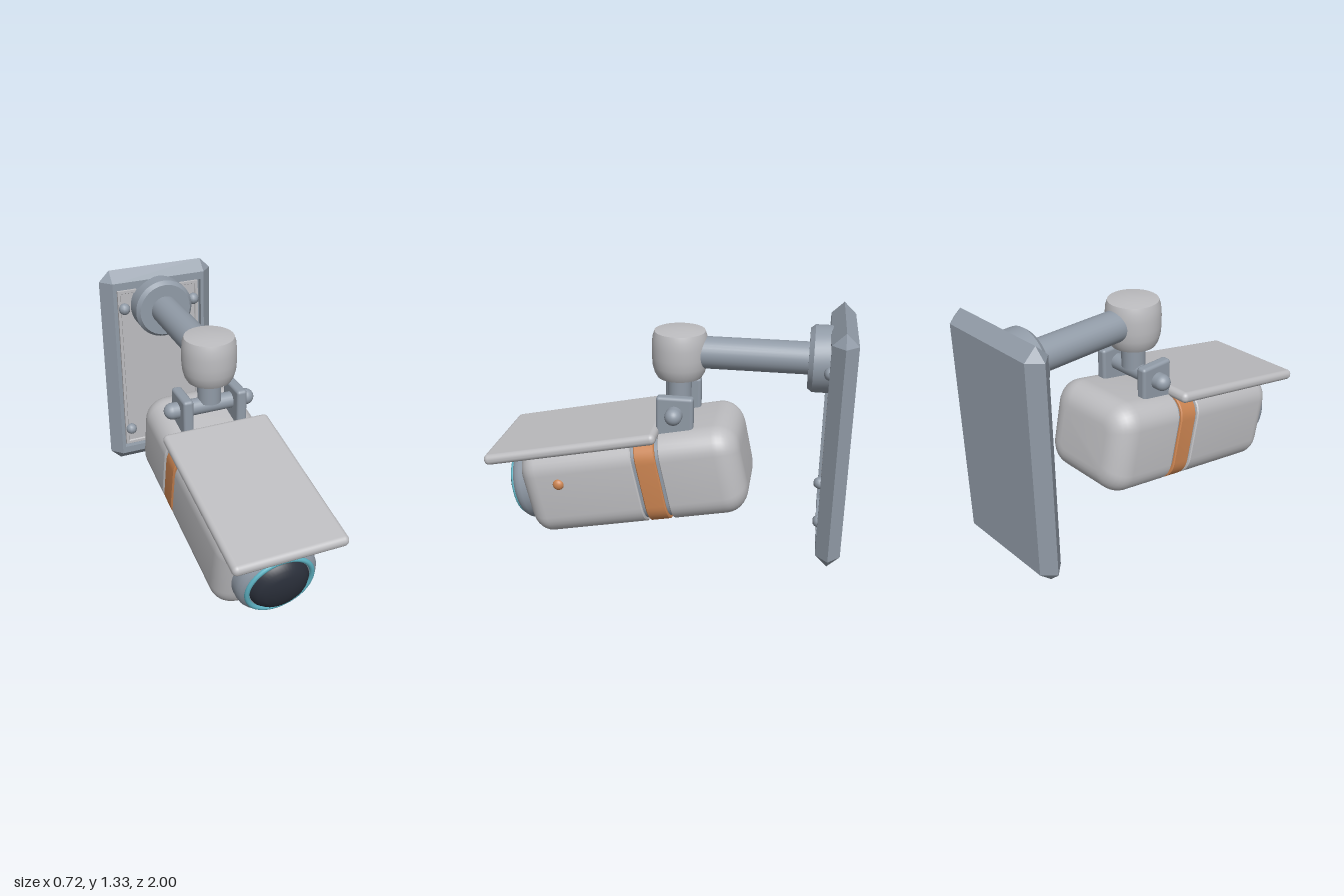
import * as THREE from 'three';
import { toCreasedNormals } from 'three/addons/utils/BufferGeometryUtils.js';
import { RoundedBoxGeometry } from 'three/addons/geometries/RoundedBoxGeometry.js';

const mat = (name, color) => new THREE.MeshStandardMaterial({ name, color });

// Skin a list of matching loops (counter-clockwise seen from +z), capped at both ends
function loft(loops, crease) {
  const n = loops[0].length, pos = [], idx = [];
  loops.forEach(l => l.forEach(p => pos.push(...p)));
  for (let k = 0; k < loops.length - 1; k++) {
    for (let i = 0; i < n; i++) {
      const a = k * n + i, b = k * n + (i + 1) % n;
      idx.push(a, b, b + n, a, b + n, a + n);
    }
  }
  const last = (loops.length - 1) * n;
  for (let i = 1; i < n - 1; i++) {
    idx.push(0, i + 1, i);
    idx.push(last, last + i, last + i + 1);
  }
  const g = new THREE.BufferGeometry();
  g.setAttribute('position', new THREE.Float32BufferAttribute(pos, 3));
  g.setIndex(idx);
  return toCreasedNormals(g, crease);
}

// Rounded-rectangle loop
function roundLoop(hw, hh, r, z, cy = 0) {
  const pts = [];
  for (let c = 0; c < 4; c++) {
    const sx = c === 0 || c === 3 ? 1 : -1, sy = c < 2 ? 1 : -1;
    for (let i = 0; i <= 8; i++) {
      const a = (c + i / 8) * Math.PI / 2;
      pts.push([sx * (hw - r) + r * Math.cos(a), cy + sy * (hh - r) + r * Math.sin(a), z]);
    }
  }
  return pts;
}

// Rectangle loop with corners cut from (ox, iy) to (ix, oy)
const cutLoop = (ox, oy, z, cut = 0) => {
  const ix = ox - cut, iy = oy - cut;
  return [[ox, iy, z], [ix, oy, z], [-ix, oy, z], [-ox, iy, z],
    [-ox, -iy, z], [-ix, -oy, z], [ix, -oy, z], [ox, -iy, z]];
};

// Camera body cross-section, pulled in by an inset
const bodyLoop = (z, inset = 0) =>
  roundLoop(0.297 - inset, 0.26 - inset, Math.max(0.13 - inset * 0.7, 0.03), z, 0.01);

// Loops for a rounded body end; dir is -1 for the rear, +1 for the front
function endLoops(zEnd, r, dir) {
  const out = [];
  for (let i = 0; i <= 8; i++) {
    const a = i / 8 * Math.PI / 2;
    out.push(bodyLoop(zEnd - dir * r * (1 - Math.sin(a)), r * (1 - Math.cos(a))));
  }
  return dir > 0 ? out : out.reverse();
}

const lathe = (pts, seg = 40) => toCreasedNormals(
  new THREE.LatheGeometry(pts.map(p => new THREE.Vector2(...p)), seg), 0.6);

export function createModel() {
  const shell = mat('light grey shell', 0xbdbdc0);
  const metal = mat('blue grey metal', 0x919ba7);
  const orange = mat('orange accent', 0xcb8451);
  const teal = mat('teal ring', 0x5fb4c5);
  const glass = mat('dark glass', 0x2b303b);

  const model = new THREE.Group();
  const add = (name, geo, material, x = 0, y = 0, z = 0, parent = model) => {
    const m = new THREE.Mesh(geo, material);
    m.name = name;
    m.position.set(x, y, z);
    parent.add(m);
    return m;
  };

  // Wall plate with chamfered rim and a recessed face
  add('wallPlate', loft([
    cutLoop(0.295, 0.6, -1), cutLoop(0.36, 0.665, -0.933, 0.065), cutLoop(0.295, 0.6, -0.866),
    cutLoop(0.275, 0.554, -0.866), cutLoop(0.275, 0.554, -0.9),
  ], 0.1), metal, 0, 0.665, 0);
  add('platePanel', loft([
    cutLoop(0.262, 0.541, -0.905), cutLoop(0.262, 0.541, -0.882), cutLoop(0.245, 0.524, -0.882),
    cutLoop(0.24, 0.519, -0.892),
  ], 0.1), shell, 0, 0.665, 0);
  for (const x of [-0.226, 0.226]) {
    for (const y of [0.24, 1.093]) {
      add('plateScrew', new THREE.SphereGeometry(0.036, 10, 8), metal, x, y, -0.874);
    }
  }

  // Arm reaching out from the plate
  const armY = 1.095, jointZ = -0.066;
  add('armFlange', lathe([[0, -0.9], [0.18, -0.9], [0.18, -0.785], [0.16, -0.76], [0, -0.76]])
    .rotateX(Math.PI / 2), metal, 0, armY, 0);
  add('arm', new THREE.CylinderGeometry(0.088, 0.088, 0.72, 32).rotateX(Math.PI / 2),
    metal, 0, armY, -0.44);

  // Swivel joint, neck and hinge
  add('swivelJoint', lathe([[0, 0.955], [0.124, 0.955], [0.138, 0.98], [0.149, 1.02], [0.153, 1.07],
    [0.153, 1.13], [0.149, 1.18], [0.139, 1.212], [0.08, 1.221], [0, 1.225]]), shell, 0, 0, jointZ);
  add('neck', new THREE.CylinderGeometry(0.067, 0.067, 0.16, 28), metal, 0, 0.9, jointZ);
  add('hingePin', new THREE.CapsuleGeometry(0.047, 0.446, 8, 24).rotateZ(Math.PI / 2),
    metal, 0, 0.796, jointZ);
  for (const x of [-0.16, 0.16]) {
    add('hingeLug', new RoundedBoxGeometry(0.06, 0.25, 0.204, 3, 0.018), metal, x, 0.765, jointZ);
  }

  // Tilted camera head
  const head = new THREE.Group();
  head.name = 'cameraHead';
  head.position.set(0, 0.396, 0.045);
  head.rotation.x = THREE.MathUtils.degToRad(12);
  model.add(head);
  const part = (name, geo, material, x = 0, y = 0, z = 0) => add(name, geo, material, x, y, z, head);

  part('rearShell', loft([...endLoops(-0.508, 0.13, -1),
    bodyLoop(-0.083), bodyLoop(-0.077, 0.006)], 0.6), shell);
  part('frontShell', loft([bodyLoop(0.077, 0.006), bodyLoop(0.083),
    ...endLoops(0.755, 0.11, 1)], 0.6), shell);
  part('bandGroove', loft([bodyLoop(-0.08, 0.016), bodyLoop(0.08, 0.016)], 0.6), metal);
  part('band', loft([bodyLoop(-0.058, 0.006), bodyLoop(-0.053), bodyLoop(0.053),
    bodyLoop(0.058, 0.006)], 0.6), orange);

  // Sun visor
  part('visor', new RoundedBoxGeometry(0.636, 0.062, 1.0, 4, 0.029), shell, 0, 0.284, 0.413);

  // Lens barrel, ring and glass
  part('lensBarrel', lathe([[0, 0.64], [0.229, 0.64], [0.229, 0.785], [0.224, 0.808], [0.212, 0.827],
    [0.196, 0.838], [0, 0.838]], 48).rotateX(Math.PI / 2), metal);
  part('lensRing', new THREE.TorusGeometry(0.184, 0.014, 12, 48), teal, 0, 0, 0.84);
  part('lensGlass', lathe([[0.168, 0.835], [0.163, 0.85], [0.14, 0.876], [0.105, 0.893],
    [0.055, 0.904], [0, 0.907]], 48).rotateX(Math.PI / 2), glass);

  // Side indicator stud
  part('indicatorStud', new THREE.SphereGeometry(0.032, 20, 14).scale(0.75, 1, 1),
    orange, 0.295, 0.083, 0.52);

  return model;
}
